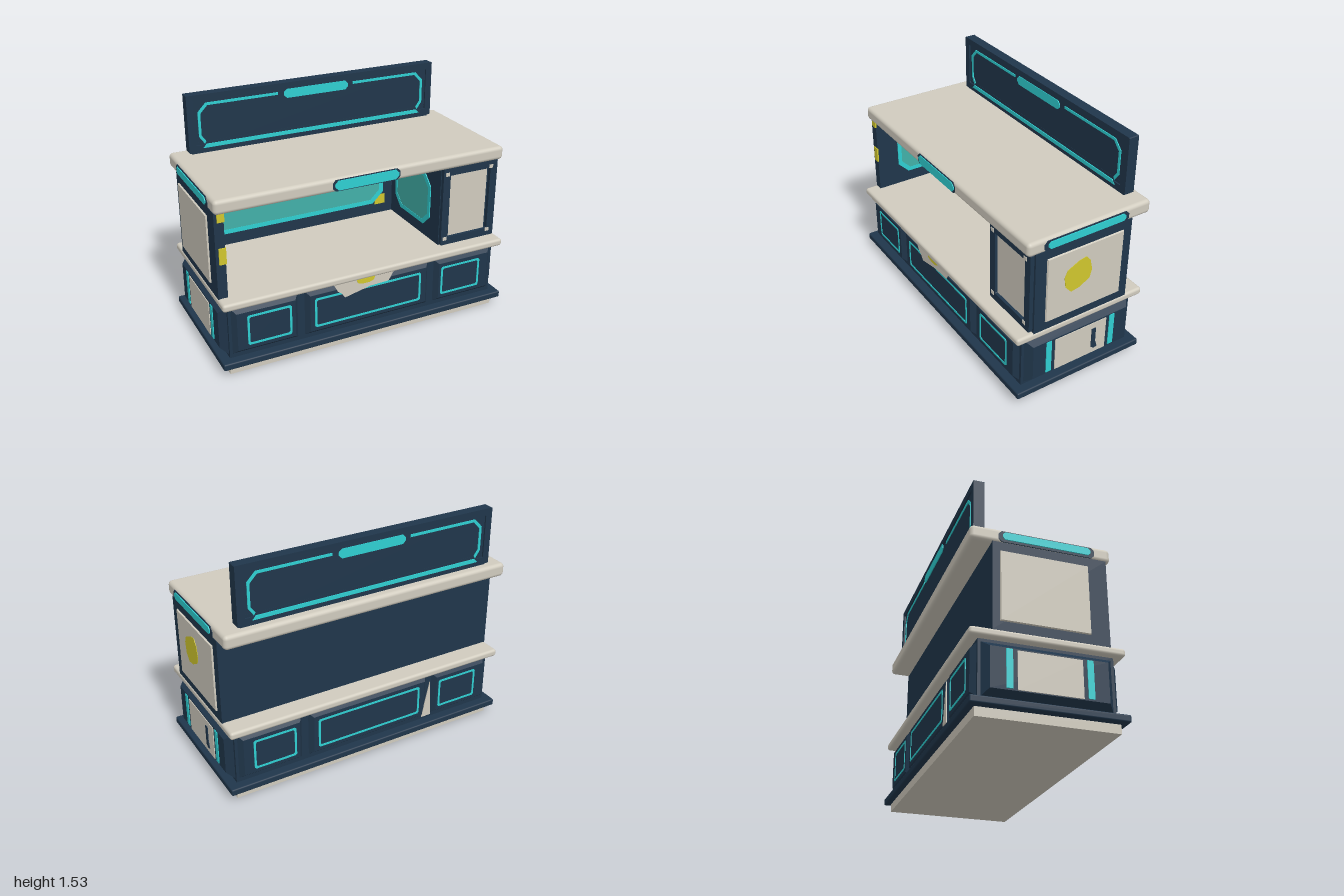
import * as THREE from 'three';
import { RoundedBoxGeometry } from 'three/addons/geometries/RoundedBoxGeometry.js';

const mat = (name, color) => {
  const m = new THREE.MeshStandardMaterial({ color });
  m.name = name;
  return m;
};

export function createModel() {
  const navy = mat('navy', 0x20364b);
  const cream = mat('cream', 0xd0cbbe);
  const cyan = mat('cyan', 0x2fcfd2);
  const teal = mat('teal', 0x42b0a8);
  const yellow = mat('yellow', 0xd0c62e);
  const root = new THREE.Group();
  root.name = 'kiosk';

  const add = (parent, name, geo, material, x = 0, y = 0, z = 0) => {
    const mesh = new THREE.Mesh(geo, material);
    mesh.name = name;
    mesh.position.set(x, y, z);
    parent.add(mesh);
    return mesh;
  };
  // box given by its limits, with optional rounding
  const box = (parent, name, m, x0, x1, y0, y1, z0, z1, r = 0) => {
    const s = [x1 - x0, y1 - y0, z1 - z0];
    const geo = r ? new RoundedBoxGeometry(...s, 3, r) : new THREE.BoxGeometry(...s);
    return add(parent, name, geo, m, (x0 + x1) / 2, (y0 + y1) / 2, (z0 + z1) / 2);
  };
  // box whose front face is drawn in on all sides
  const raised = (parent, name, m, x0, x1, y0, y1, z0, z1, inset) => {
    const w = x1 - x0, h = y1 - y0;
    const geo = new THREE.BoxGeometry(w, h, z1 - z0);
    const p = geo.attributes.position;
    for (let i = 0; i < p.count; i++) {
      if (p.getZ(i) > 0) p.setXY(i, p.getX(i) * (1 - 2 * inset / w), p.getY(i) * (1 - 2 * inset / h));
    }
    geo.computeVertexNormals();
    return add(parent, name, geo, m, (x0 + x1) / 2, (y0 + y1) / 2, (z0 + z1) / 2);
  };
  // rectangle outline with cut corners
  const octagon = (x0, x1, y0, y1, c) => [
    [x0 + c, y0], [x1 - c, y0], [x1, y0 + c], [x1, y1 - c],
    [x1 - c, y1], [x0 + c, y1], [x0, y1 - c], [x0, y0 + c],
  ].map(([x, y]) => new THREE.Vector2(x, y));
  const extrude = (shape, depth) => new THREE.ExtrudeGeometry(shape, { depth, bevelEnabled: false });
  const plate = (parent, name, m, pts, z, depth = 0.006) =>
    add(parent, name, extrude(new THREE.Shape(pts.map((p) => new THREE.Vector2(p.x ?? p[0], p.y ?? p[1]))), depth), m, 0, 0, z);
  const ring = (parent, name, m, x0, x1, y0, y1, c, t, z, depth = 0.006) => {
    const shape = new THREE.Shape(octagon(x0, x1, y0, y1, c));
    shape.holes.push(new THREE.Path(octagon(x0 + t, x1 - t, y0 + t, y1 - t, c * 0.85)));
    return add(parent, name, extrude(shape, depth), m, 0, 0, z);
  };
  // group whose local +z points out of one side of the model
  const side = (name, angle, parent = root) => {
    const g = new THREE.Group();
    g.name = name;
    g.rotation.y = angle;
    parent.add(g);
    return g;
  };

  // foot, plinth, lower body and counter
  box(root, 'foot', cream, -0.95, 0.95, 0, 0.06, -0.42, 0.42);
  box(root, 'plinth', navy, -1, 1, 0.055, 0.1, -0.46, 0.46, 0.01);
  box(root, 'lowerBody', navy, -0.94, 0.94, 0.09, 0.46, -0.4, 0.4);
  box(root, 'counter', cream, -0.985, 0.985, 0.455, 0.505, -0.46, 0.46, 0.018);

  // lower front and back, each with three framed panels
  for (const [label, angle] of [['lowerFront', 0], ['lowerBack', Math.PI]]) {
    const g = side(label, angle);
    for (const [x0, x1, f0, f1] of [[-0.93, -0.48, -0.83, -0.54], [-0.45, 0.45, -0.385, 0.375], [0.48, 0.93, 0.53, 0.83]]) {
      raised(g, 'lowerPanel', navy, x0, x1, 0.12, 0.445, 0.39, 0.43, 0.035);
      ring(g, 'panelTrim', cyan, f0, f1, 0.18, 0.385, 0.01, 0.014, 0.427);
    }
    if (angle === 0) {
      plate(g, 'drape', cream, [[-0.26, 0.456], [-0.23, 0.4], [-0.2, 0.375], [-0.18, 0.345], [0, 0.385], [0.13, 0.39], [0.17, 0.456]], 0.431);
      plate(g, 'drapeBadge', yellow, [[-0.1, 0.45], [-0.09, 0.427], [-0.06, 0.417], [-0.01, 0.417], [0.02, 0.427], [0.03, 0.45]], 0.436);
    } else {
      plate(g, 'backSliver', cream, [[0.4, 0.14], [0.47, 0.14], [0.455, 0.4]], 0.428);
    }
  }

  // end faces, lower and upper
  for (const [label, angle] of [['rightEnd', Math.PI / 2], ['leftEnd', -Math.PI / 2]]) {
    const g = side(label, angle);
    const s = Math.sign(angle);
    raised(g, 'lowerEndPanel', navy, -0.39, 0.39, 0.11, 0.445, 0.93, 0.985, 0.045);
    box(g, 'lowerEndPlate', cream, -0.19, 0.19, 0.16, 0.39, 0.98, 0.99);
    for (const x of [-0.235, 0.235]) box(g, 'lowerEndStrip', cyan, x - 0.019, x + 0.019, 0.165, 0.395, 0.982, 0.99);
    if (s > 0) {
      plate(g, 'handle', navy, [[0.08, 0.35], [0.08, 0.21], [0.1, 0.195], [0.125, 0.2], [0.11, 0.25], [0.11, 0.35]], 0.989);
      plate(g, 'endBadge', yellow, [[-0.15, 0.83], [-0.14, 0.76], [-0.1, 0.715], [-0.04, 0.725], [0.03, 0.765],
        [0.045, 0.82], [0.03, 0.89], [0, 0.925], [-0.05, 0.915], [-0.13, 0.875]], 0.988, 0.005);
    }
    raised(g, 'upperEndPanel', cream, s * 0.008 - 0.285, s * 0.008 + 0.27, 0.55, 1.01, 0.96, 0.99, 0.012);
    // light along the roof end
    plate(g, 'roofEndBack', navy, octagon(-0.295, 0.295, 1.06, 1.13, 0.02), 0.982);
    plate(g, 'roofEndLight', cyan, octagon(-0.27, 0.27, 1.075, 1.122, 0.015), 0.988);
  }

  // upper walls
  box(root, 'backWall', navy, -0.96, 0.96, 0.5, 1.06, -0.33, -0.28);
  box(root, 'sideWall', navy, -0.98, -0.92, 0.5, 1.06, -0.33, 0.37);
  box(root, 'cabinet', navy, 0.55, 0.98, 0.5, 1.06, -0.33, 0.345);

  // cabinet front with frame, door and corner studs
  ring(root, 'cabinetFrame', navy, 0.555, 0.965, 0.51, 1.05, 0.004, 0.052, 0.345, 0.025);
  box(root, 'cabinetDoor', cream, 0.605, 0.9, 0.56, 0.99, 0.34, 0.351);
  for (const x of [0.583, 0.915]) for (const y of [0.555, 1.01]) {
    box(root, 'stud', cream, x - 0.014, x + 0.014, y - 0.012, y + 0.012, 0.367, 0.374);
  }

  // glowing interior panels
  plate(root, 'backScreen', teal, octagon(-0.82, 0.46, 0.6, 0.94, 0.08), -0.282);
  ring(root, 'backScreenTrim', cyan, -0.835, 0.475, 0.585, 0.955, 0.08, 0.03, -0.28);
  for (const [x, sx] of [[-0.85, 1], [0.49, -1]]) for (const [y, sy] of [[0.575, 1], [0.97, -1]]) {
    const pts = [[0, 0], [0.08, 0], [0.075, 0.03], [0.03, 0.07], [0, 0.07]].map(([a, b]) => [x + a * sx, y + b * sy]);
    plate(root, 'screenCorner', yellow, pts, -0.279);
  }
  for (const [label, angle, x] of [['leftInner', Math.PI / 2, -0.92], ['rightInner', -Math.PI / 2, 0.55]]) {
    const g = side(label, angle);
    g.position.x = x;
    plate(g, 'sideScreen', teal, octagon(-0.2, 0.22, 0.6, 0.94, 0.07), -0.001);
    ring(g, 'sideScreenTrim', cyan, -0.215, 0.235, 0.585, 0.955, 0.075, 0.028, 0.001);
  }
  // markers on the front edge of the side wall
  for (const [y0, y1] of [[0.73, 0.835], [1, 1.053]]) {
    box(root, 'wallMarker', yellow, -0.962, -0.917, y0, y1, 0.366, 0.377);
  }

  // roof with front light
  box(root, 'roof', cream, -0.985, 0.985, 1.055, 1.145, -0.46, 0.4, 0.025);
  plate(root, 'roofLightBack', navy, octagon(-0.245, 0.215, 1.062, 1.135, 0.02), 0.396);
  plate(root, 'roofLight', cyan, octagon(-0.23, 0.205, 1.068, 1.13, 0.022), 0.401);

  // sign board, decorated on both faces
  const sign = new THREE.Group();
  sign.name = 'sign';
  sign.position.z = -0.378;
  root.add(sign);
  box(sign, 'signFoot', navy, -0.86, 0.86, 1.13, 1.22, -0.025, 0.025);
  box(sign, 'signBoard', navy, -0.87, 0.87, 1.16, 1.52, -0.024, 0.024);
  ring(sign, 'signRim', navy, -0.88, 0.88, 1.155, 1.53, 0.004, 0.045, -0.034, 0.068);
  for (const angle of [0, Math.PI]) {
    const g = side('signFace', angle, sign);
    // outline left open at the top for the lamp
    const outline = [[-0.27, 1.472], [-0.755, 1.472], [-0.81, 1.415], [-0.81, 1.255], [-0.775, 1.205]];
    const inner = [[-0.765, 1.222], [-0.793, 1.262], [-0.793, 1.405], [-0.745, 1.455], [-0.27, 1.455]];
    for (const s of [1, -1]) {
      plate(g, 'signTrim', cyan, [...outline, ...inner].map(([x, y]) => [x * s, y]), 0.023);
    }
    plate(g, 'signLowerTrim', cyan, [[-0.79, 1.18], [0.79, 1.18], [0.765, 1.205], [-0.765, 1.205]], 0.031);
    plate(g, 'signLamp', cyan, octagon(-0.23, 0.23, 1.428, 1.488, 0.02), 0.032);
  }
  return root;
}
